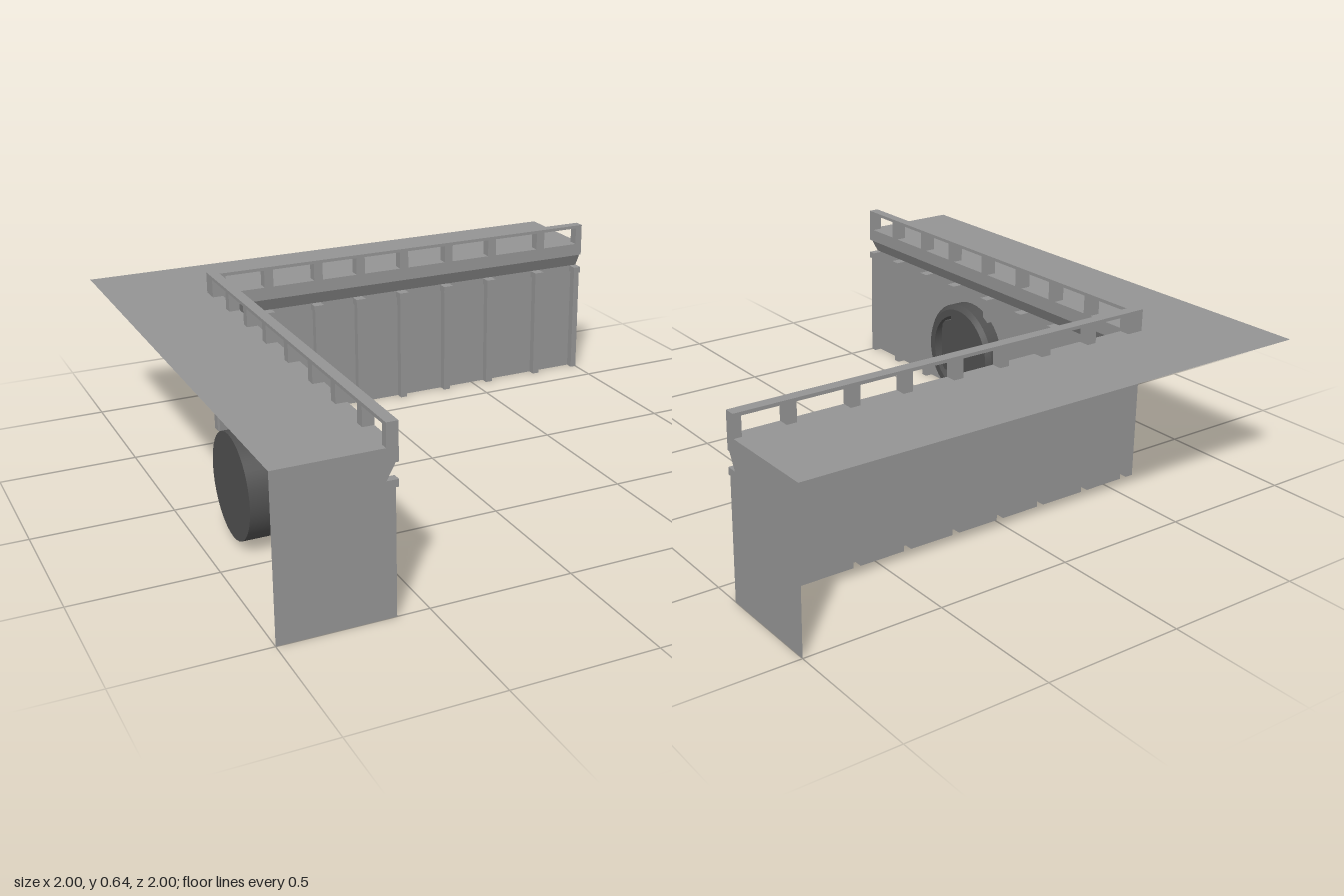
import * as THREE from 'three';
import { toCreasedNormals } from 'three/addons/utils/BufferGeometryUtils.js';

const WALL = -0.64, EDGE = -0.6, TOP = 0.56;

// Rib and railing post positions along each arm
const RIBS_X = [-0.595, -0.405, -0.2, -0.02, 0.17, 0.37, 0.57, 0.8, 0.99];
const RIBS_Z = [-0.59, -0.4, -0.205, -0.01, 0.2, 0.415, 0.605, 0.81, 0.99];

// Surface stretched between neighbouring rows of [x, y, z] points, flat shaded
function loft(rows) {
  const pos = [];
  for (let i = 0; i + 1 < rows.length; i++) {
    for (let j = 0; j + 1 < rows[i].length; j++) {
      const a = rows[i][j], b = rows[i][j + 1], c = rows[i + 1][j + 1], d = rows[i + 1][j];
      pos.push(...a, ...b, ...c, ...a, ...c, ...d);
    }
  }
  const g = new THREE.BufferGeometry();
  g.setAttribute('position', new THREE.Float32BufferAttribute(pos, 3));
  g.computeVertexNormals();
  return g;
}

export function createModel() {
  const model = new THREE.Group();
  model.name = 'canalCorner';
  const concrete = new THREE.MeshStandardMaterial({ color: 0x949494, side: THREE.DoubleSide });
  concrete.name = 'concrete grey';
  const iron = new THREE.MeshStandardMaterial({ color: 0x505050 });
  iron.name = 'dark iron';

  const add = (name, geometry, material = concrete, parent = model) => {
    const mesh = new THREE.Mesh(geometry, material);
    mesh.name = name;
    parent.add(mesh);
    return mesh;
  };

  // Box along an arm: t runs along the arm, d across it; kept inside t <= 1
  const armBox = (name, arm, t0, t1, y0, y1, d0, d1, parent) => {
    t1 = Math.min(t1, 1);
    const t = t1 - t0, d = d1 - d0, tc = (t0 + t1) / 2, dc = (d0 + d1) / 2;
    const size = arm === 'x' ? [t, y1 - y0, d] : [d, y1 - y0, t];
    const mesh = add(name, new THREE.BoxGeometry(...size), concrete, parent);
    mesh.position.set(arm === 'x' ? tc : dc, (y0 + y1) / 2, arm === 'x' ? dc : tc);
  };

  // Deck
  const deck = new THREE.Shape([[-1, -1], [-1, 1], [EDGE, 1], [EDGE, EDGE], [1, EDGE], [1, -1]]
    .map(([x, z]) => new THREE.Vector2(x, -z)));
  add('deck', new THREE.ShapeGeometry(deck).rotateX(-Math.PI / 2).translate(0, TOP, 0));

  // Ribbed sheet wall, folded in plan and hollow behind the ribs
  const foldedPath = (ribs) => {
    const path = [];
    for (const r of ribs) {
      const a = r - 0.014, b = Math.min(r + 0.014, 1);
      path.push([a, WALL], [a, WALL + 0.03], [b, WALL + 0.03], [b, WALL]);
    }
    return path;
  };
  const plan = [
    ...foldedPath(RIBS_Z).reverse().map(([t, d]) => [d, t]),
    [WALL, WALL],
    ...foldedPath(RIBS_X),
  ];
  add('ribbedWall', loft([0, 0.455].map((y) => plan.map(([x, z]) => [x, y, z]))));

  // Cornice with a sloping underside
  const cornice = [[WALL, 0.455], [-0.61, 0.51], [EDGE, 0.51], [EDGE, TOP]];
  add('cornice', loft(cornice.map(([d, y]) => [[d, y, 1], [d, y, d], [1, y, d]])));

  // End walls
  const endShape = new THREE.Shape([
    [-1, 0], [-0.61, 0], [-0.61, 0.43], [EDGE, 0.43], [EDGE, 0.455],
    [WALL, 0.455], [-0.61, 0.51], [EDGE, 0.51], [EDGE, TOP], [-1, TOP],
  ].map(([x, y]) => new THREE.Vector2(x, y)));
  add('frontEndWall', new THREE.ShapeGeometry(endShape).translate(0, 0, 1));
  add('sideEndWall', new THREE.ShapeGeometry(endShape).rotateY(-Math.PI / 2).translate(1, 0, 0));

  // Rib caps and railings on both arms
  for (const [arm, ribs] of [['x', RIBS_X], ['z', RIBS_Z]]) {
    const railing = new THREE.Group();
    railing.name = arm === 'x' ? 'backRailing' : 'sideRailing';
    model.add(railing);
    ribs.forEach((r, i) => {
      armBox('ribCap', arm, r - 0.02, r + 0.02, 0.43, 0.455, WALL, EDGE);
      armBox('railPost', arm, i ? r - 0.018 : EDGE, r + 0.018, TOP, 0.628, WALL, EDGE, railing);
    });
    armBox('topRail', arm, arm === 'x' ? WALL : EDGE, 1, 0.628, 0.64, WALL, EDGE, railing);
  }
  armBox('cornerPost', 'x', WALL, EDGE, TOP, 0.628, WALL, EDGE);

  // Drain: outlet ring, pipe running back under the deck, and grille bars
  const drain = new THREE.Group();
  drain.name = 'drain';
  drain.position.set(EDGE, 0.2, 0.31);
  model.add(drain);
  const ring = new THREE.LatheGeometry([
    [0.155, -0.03], [0.2, -0.03], [0.2, 0.023], [0.182, 0.04], [0.155, 0.04], [0.155, -0.03],
  ].map(([r, y]) => new THREE.Vector2(r, y)), 40);
  add('outletRing', toCreasedNormals(ring.rotateZ(-Math.PI / 2), 0.5), iron, drain);
  add('pipe', new THREE.CylinderGeometry(0.185, 0.185, 0.28, 40)
    .rotateZ(-Math.PI / 2).translate(-0.15, 0, 0), iron, drain);
  for (let i = -2; i <= 2; i++) {
    const z = i * 0.058;
    const height = 2 * Math.sqrt(0.158 ** 2 - z ** 2);
    add('grilleBar', new THREE.BoxGeometry(0.025, height, 0.03), iron, drain)
      .position.set(0.008, 0, z);
  }
  return model;
}
